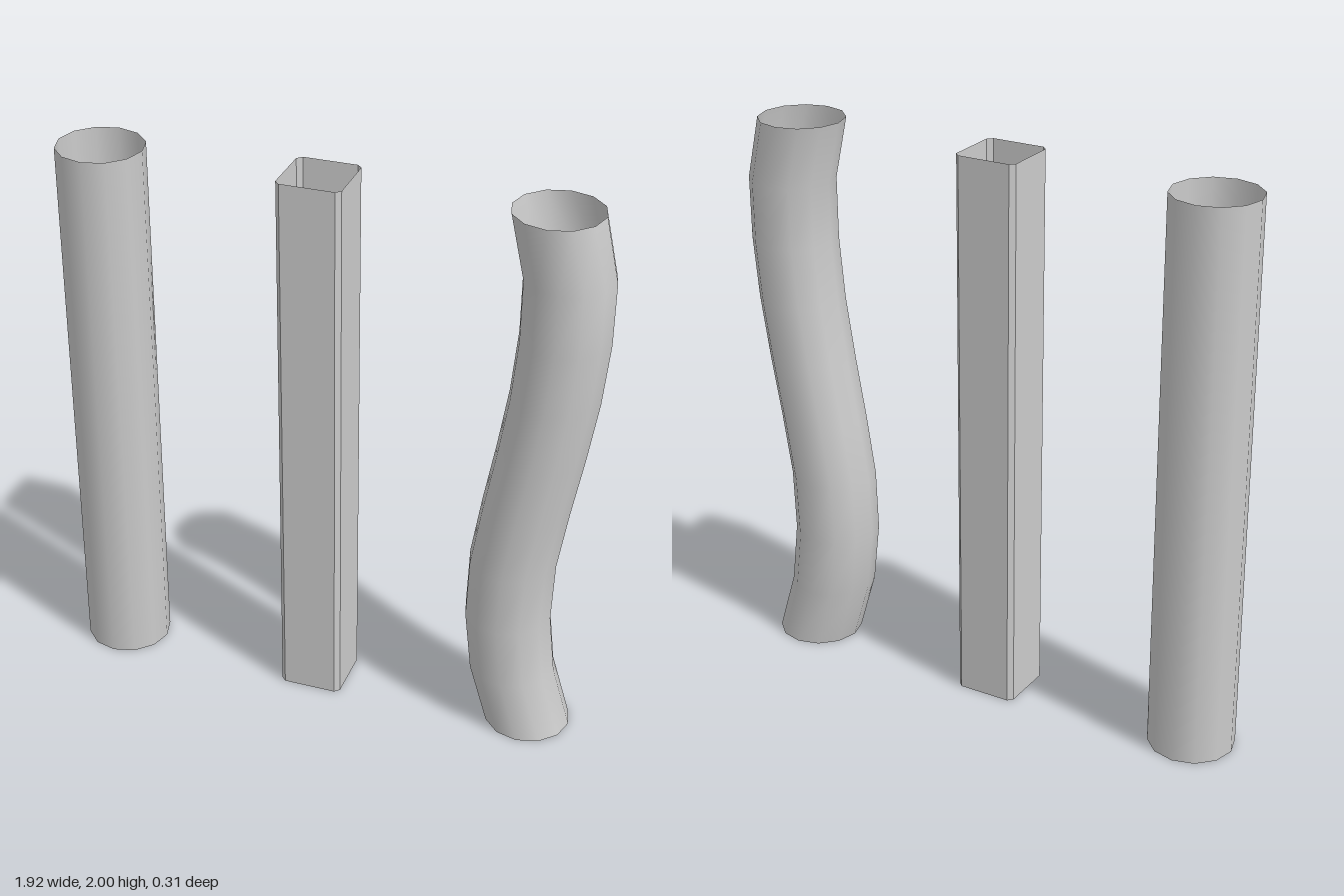
import * as THREE from 'three';
import { mergeGeometries, mergeVertices } from 'three/addons/utils/BufferGeometryUtils.js';

const RADIUS = 0.153;
const SIDES = 12;

export function createModel() {
  const model = new THREE.Group();
  model.name = 'pipes';
  const material = new THREE.MeshStandardMaterial({ color: 0xcccccc, side: THREE.DoubleSide });

  const add = (name, geometry, x) => {
    const mesh = new THREE.Mesh(geometry, material);
    mesh.name = name;
    mesh.position.x = x;
    model.add(mesh);
  };

  // straight round pipe, open at both ends
  const straight = new THREE.CylinderGeometry(RADIUS, RADIUS, 1.99, SIDES, 1, true);
  straight.translate(0, 0.995, 0);
  add('roundPipe', straight, -0.81);

  // square pipe: four walls and four narrow chamfers around an open shaft
  const half = 0.1125, cut = 0.017;
  const panels = [];
  for (let i = 0; i < 4; i++) {
    const angle = i * Math.PI / 2;
    const wall = new THREE.PlaneGeometry(2 * (half - cut), 2);
    wall.translate(0, 1, half);
    wall.rotateY(angle);
    const chamfer = new THREE.PlaneGeometry(cut * Math.SQRT2, 2);
    chamfer.translate(0, 1, (2 * half - cut) / Math.SQRT2);
    chamfer.rotateY(angle + Math.PI / 4);
    panels.push(wall, chamfer);
  }
  add('squarePipe', mergeGeometries(panels), -0.0375);

  // bent round pipe: level rings shifted sideways along an S-shaped centre line
  const centres = [0.757, 0.69, 0.665, 0.673, 0.708, 0.748, 0.783, 0.804, 0.806, 0.757];
  const rows = centres.length - 1;
  let bent = new THREE.CylinderGeometry(RADIUS, RADIUS, 2, SIDES, rows, true);
  bent.translate(0, 1, 0);
  const position = bent.attributes.position;
  for (let i = 0; i < position.count; i++) {
    const row = Math.round(position.getY(i) / 2 * rows);
    position.setX(i, position.getX(i) + centres[row]);
  }
  // weld the seam so the shading stays smooth all round
  bent.deleteAttribute('uv');
  bent.deleteAttribute('normal');
  bent = mergeVertices(bent, 1e-4);
  bent.computeVertexNormals();
  add('bentPipe', bent, 0);

  return model;
}
